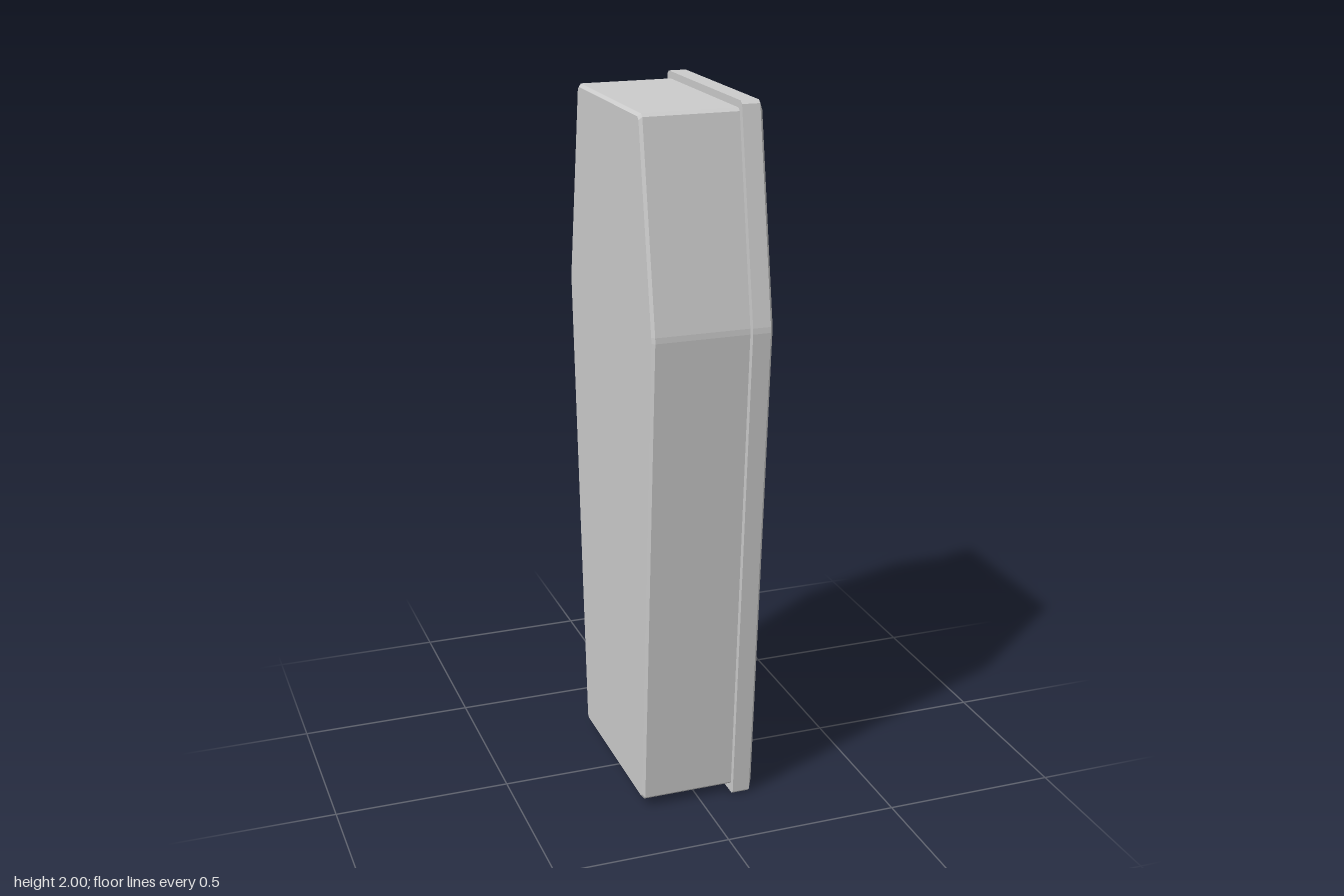
import * as THREE from 'three';

// Six-sided outline as [y, z] corners, shrunk inwards by d, each corner cut by c
function outline({ bottom, top, middle, endHalf, midHalf }, d, c) {
  const low = endHalf - 0.93 * d, high = endHalf - 0.84 * d, mid = midHalf - d;
  const corners = [
    [bottom + d, -low], [middle, -mid], [top - d, -high],
    [top - d, high], [middle, mid], [bottom + d, low],
  ].map(([y, z]) => new THREE.Vector2(y, z));
  const n = corners.length;
  return corners.flatMap((p, i) => [corners[(i + n - 1) % n], corners[(i + 1) % n]].map(
    (q) => p.clone().add(q.clone().sub(p).setLength(c))));
}

// Closed loft along x through [x, inset] sections
function loft(name, dims, sections, cut) {
  const rings = sections.map(([x, d]) =>
    outline(dims, d, cut).map((p) => new THREE.Vector3(x, p.x, p.y)));
  const n = rings[0].length;
  const index = [];
  for (let s = 0; s < rings.length - 1; s++) {
    for (let k = 0; k < n; k++) {
      const a = s * n + k, b = s * n + (k + 1) % n;
      index.push(a, b, b + n, a, b + n, a + n);
    }
  }
  const last = (rings.length - 1) * n;
  for (let k = 1; k < n - 1; k++) {
    index.push(0, k + 1, k, last, last + k, last + k + 1);
  }
  const geometry = new THREE.BufferGeometry().setFromPoints(rings.flat());
  geometry.setIndex(index);
  geometry.computeVertexNormals();
  const mesh = new THREE.Mesh(geometry,
    new THREE.MeshStandardMaterial({ color: 0xcccccc, flatShading: true }));
  mesh.name = name;
  return mesh;
}

export function createModel() {
  const group = new THREE.Group();
  group.name = 'coffin';

  // Box with a finely chamfered back edge
  group.add(loft('coffinBox',
    { bottom: 0.025, top: 1.98, middle: 1.415, endHalf: 0.262, midHalf: 0.358 },
    [[-0.17, 0.008], [-0.162, 0], [0.1, 0]], 0.008));

  // Overhanging lid with a shallow, rounded bevel
  group.add(loft('coffinLid',
    { bottom: 0, top: 2, middle: 1.42, endHalf: 0.277, midHalf: 0.377 },
    [[0.1, 0], [0.15, 0], [0.163, 0.021], [0.17, 0.045]], 0.008));

  return group;
}
